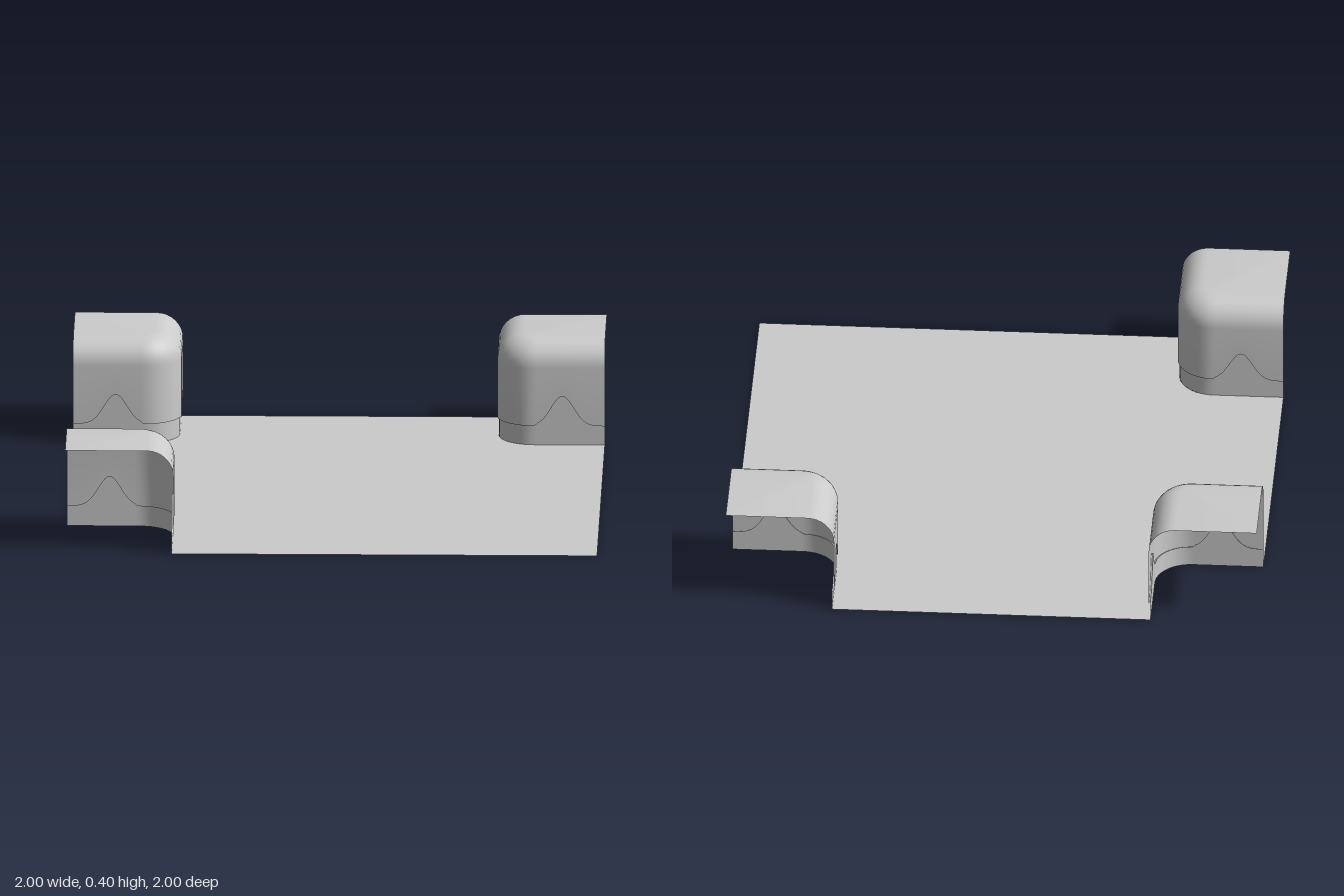
import * as THREE from 'three';
import { toCreasedNormals } from 'three/addons/utils/BufferGeometryUtils.js';

const SIZE = 0.4;       // footprint of a corner block
const HEIGHT = 0.4;
const RADIUS = 0.135;   // plan radius of the block's inner corner
const BEVEL = 0.1;      // rounding of the top edge
const LIP = 0.007;      // overhang of the upper wall

const material = new THREE.MeshStandardMaterial({ color: 0xcccccc, side: THREE.DoubleSide });

// Plan path along both walls: position, outward normal, distance from the tile edge
function planPath() {
  const c = SIZE - RADIUS, n = 28, arc = 12, path = [];
  for (let i = 0; i < n; i++) path.push({ x: c * i / n, z: SIZE, nx: 0, nz: 1, d: c * i / n });
  for (let i = 0; i <= arc; i++) {
    const a = (i / arc) * Math.PI / 2, nx = Math.sin(a), nz = Math.cos(a);
    path.push({ x: c + RADIUS * nx, z: c + RADIUS * nz, nx, nz, d: SIZE });
  }
  for (let i = n - 1; i >= 0; i--) path.push({ x: SIZE, z: c * i / n, nx: 1, nz: 0, d: c * i / n });
  return path;
}

// Lower edge of the overhang, with one bell-shaped rise on each wall
const lipHeight = d => 0.075 + 0.115 * Math.exp(-(((d - 0.16) / 0.06) ** 2));

// Wall, overhang, rounded top edge and flat top, swept along the plan path
function blockGeometry() {
  const rows = [
    () => [0, 0],
    d => [0, lipHeight(d) + 0.004],
    d => [LIP, lipHeight(d)],
  ];
  const steps = 8;
  for (let i = 0; i <= steps; i++) {
    const a = (i / steps) * Math.PI / 2;
    rows.push(() => [LIP - BEVEL * (1 - Math.cos(a)), HEIGHT - BEVEL * (1 - Math.sin(a))]);
  }
  const grid = rows.map(row => planPath().map(p => {
    const [out, y] = row(p.d);
    return [p.x + p.nx * out - 1, y, p.z + p.nz * out - 1];
  }));
  const pos = [];
  const tri = (...points) => points.forEach(p => pos.push(...p));
  for (let r = 0; r < grid.length - 1; r++) {
    for (let i = 0; i < grid[r].length - 1; i++) {
      const a = grid[r][i], b = grid[r][i + 1], c = grid[r + 1][i + 1], d = grid[r + 1][i];
      tri(a, b, c);
      tri(a, c, d);
    }
  }
  // flat top fans out from the tile corner
  const last = grid[grid.length - 1];
  for (let i = 0; i < last.length - 1; i++) tri(last[i], last[i + 1], [-1, HEIGHT, -1]);
  const geometry = new THREE.BufferGeometry();
  geometry.setAttribute('position', new THREE.Float32BufferAttribute(pos, 3));
  return toCreasedNormals(geometry, 0.7);
}

// Flat floor with a rounded notch under each block
function floorGeometry() {
  const e = 1 - SIZE, c = e + RADIUS, q = Math.PI / 2;
  const s = new THREE.Shape();
  s.moveTo(1, -1);
  s.lineTo(1, e);
  s.absarc(c, c, RADIUS, -q, -2 * q, true);
  s.lineTo(e, 1);
  s.lineTo(-e, 1);
  s.absarc(-c, c, RADIUS, 0, -q, true);
  s.lineTo(-1, e);
  s.lineTo(-1, -e);
  s.absarc(-c, -c, RADIUS, q, 0, true);
  s.lineTo(-e, -1);
  s.closePath();
  return new THREE.ShapeGeometry(s, 12).rotateX(-q);
}

export function createModel() {
  const group = new THREE.Group();
  group.name = 'cornerTile';

  const floor = new THREE.Mesh(floorGeometry(), material);
  floor.name = 'floor';
  group.add(floor);

  // three corner blocks; the front left corner stays open
  const block = blockGeometry();
  const corners = { backRightBlock: 0, frontRightBlock: Math.PI / 2, backLeftBlock: -Math.PI / 2 };
  for (const [name, angle] of Object.entries(corners)) {
    const mesh = new THREE.Mesh(block, material);
    mesh.name = name;
    mesh.rotation.y = angle;
    group.add(mesh);
  }
  return group;
}
